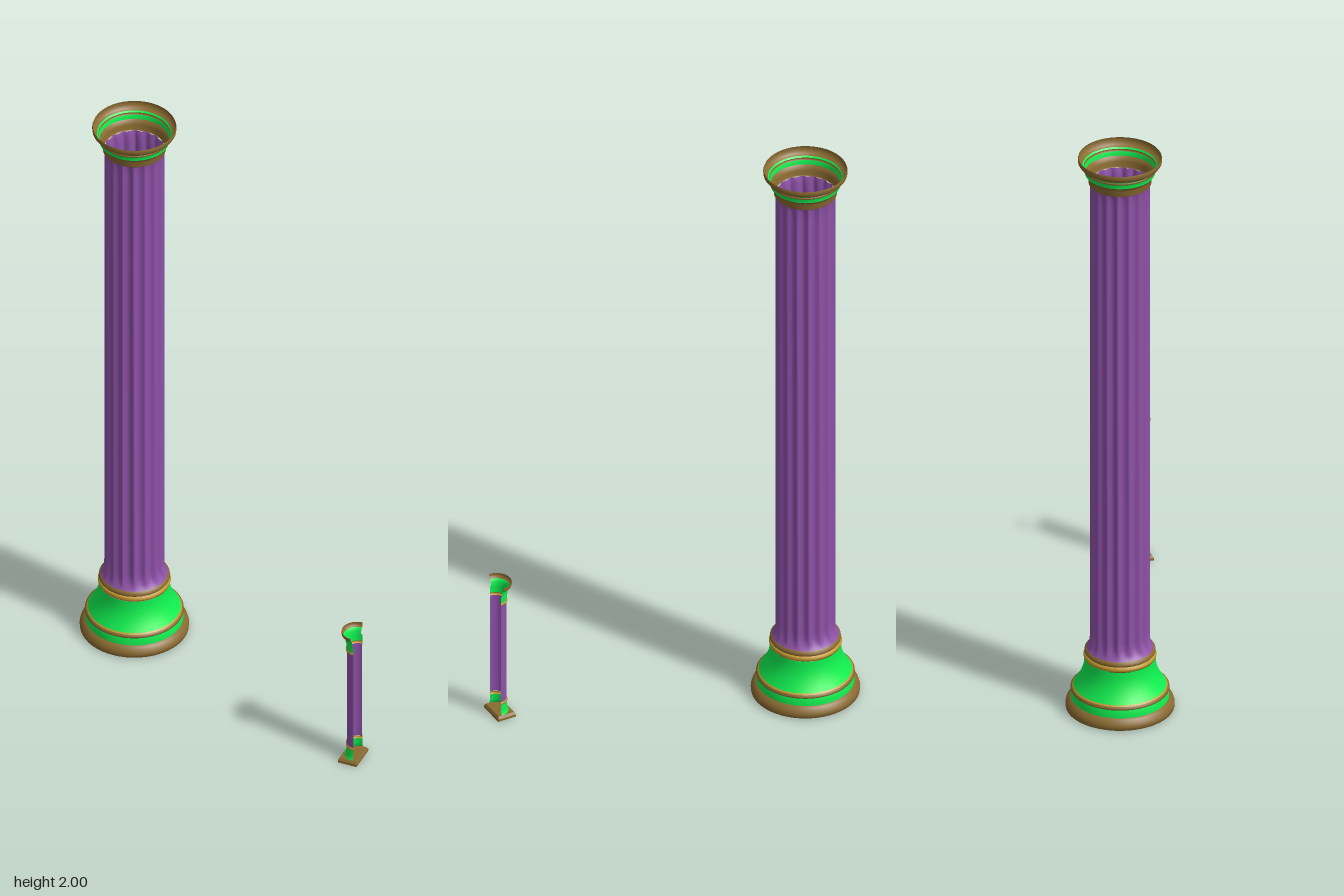
import * as THREE from 'three';

const material = (color) => new THREE.MeshStandardMaterial({ color, side: THREE.DoubleSide });
const PURPLE = material(0x8f52a8), GREEN = material(0x10f050);
const BROWN = material(0x8a6a30), GOLD = material(0xc49a30);

// Thin revolved shell; half shells keep the -x side
function shell(parent, name, mat, points, half = false, segments = 64) {
  const profile = points.map(([r, y]) => new THREE.Vector2(r, y));
  const geometry = half
    ? new THREE.LatheGeometry(profile, segments / 2, Math.PI, Math.PI)
    : new THREE.LatheGeometry(profile, segments);
  const mesh = new THREE.Mesh(geometry, mat);
  mesh.name = name;
  parent.add(mesh);
  return mesh;
}

// Concave flutes that fade out towards both ends of the shaft
function flute(geometry, count, depth, y0, y1, fade) {
  const p = geometry.attributes.position;
  for (let i = 0; i < p.count; i++) {
    const x = p.getX(i), y = p.getY(i), z = p.getZ(i);
    const r = Math.hypot(x, z), a = Math.atan2(x, z);
    const end = THREE.MathUtils.smoothstep(Math.min(y - y0, y1 - y), 0, fade);
    const k = (r - depth * end * Math.abs(Math.sin(a * count / 2))) / r;
    p.setXYZ(i, x * k, y, z * k);
  }
  geometry.computeVertexNormals();
}

function tallColumn() {
  const g = new THREE.Group();
  g.name = 'tallColumn';
  g.position.set(-0.39, 0, -0.118);

  // Base mouldings, bottom to top
  shell(g, 'baseFoot', BROWN, [[0.166, 0], [0.174, 0.004], [0.175, 0.015], [0.172, 0.026], [0.164, 0.036], [0.157, 0.04]]);
  shell(g, 'baseLowerBand', GREEN, [[0.157, 0.04], [0.156, 0.055], [0.153, 0.066]]);
  shell(g, 'baseRing', BROWN, [[0.153, 0.066], [0.158, 0.069], [0.158, 0.075], [0.153, 0.079]]);
  shell(g, 'baseGoldLine', GOLD, [[0.153, 0.079], [0.149, 0.083]]);
  shell(g, 'baseBell', GREEN, [[0.149, 0.083], [0.14, 0.096], [0.129, 0.115], [0.12, 0.137], [0.115, 0.16], [0.114, 0.182]]);
  shell(g, 'neckGoldRing', GOLD, [[0.108, 0.182], [0.115, 0.184], [0.117, 0.191], [0.115, 0.198], [0.111, 0.2]]);
  shell(g, 'neckBrownRing', BROWN, [[0.111, 0.2], [0.114, 0.204], [0.113, 0.212], [0.107, 0.217]]);

  // Fluted shaft with a flared foot
  const rows = [[0.107, 0.217], [0.102, 0.224], [0.099, 0.234], [0.097, 0.25], [0.096, 0.275],
    [0.096, 1], [0.096, 1.86], [0.096, 1.89], [0.098, 1.91]];
  const shaft = shell(g, 'shaft', PURPLE, rows, false, 128);
  flute(shaft.geometry, 16, 0.01, 0.217, 1.93, 0.04);

  // Open capital
  shell(g, 'capitalNeck', BROWN, [[0.098, 1.908], [0.101, 1.911], [0.102, 1.928], [0.106, 1.938], [0.112, 1.944]]);
  shell(g, 'capitalBand', GREEN, [[0.112, 1.944], [0.113, 1.953], [0.115, 1.959]]);
  shell(g, 'capitalRing', BROWN, [[0.115, 1.959], [0.118, 1.961], [0.118, 1.965], [0.116, 1.967]]);
  shell(g, 'capitalUpperBand', GREEN, [[0.116, 1.967], [0.12, 1.972]]);
  shell(g, 'capitalRim', BROWN, [[0.12, 1.972], [0.128, 1.976], [0.134, 1.984], [0.135, 1.994], [0.133, 2]]);
  return g;
}

function smallHalfColumn() {
  const g = new THREE.Group();
  g.name = 'smallHalfColumn';
  g.position.set(0.544, 0, 0.24);

  // Rectangular plinth with a chamfered upper edge
  const geometry = new THREE.BoxGeometry(0.065, 0.016, 0.096, 1, 2, 1).toNonIndexed();
  const p = geometry.attributes.position;
  for (let i = 0; i < p.count; i++) {
    if (p.getY(i) > 0.004) p.setXYZ(i, p.getX(i) * 0.85, p.getY(i), p.getZ(i) * 0.88);
  }
  geometry.computeVertexNormals();
  const plinth = new THREE.Mesh(geometry, BROWN);
  plinth.name = 'plinth';
  plinth.position.set(-0.0165, 0.008, 0);
  g.add(plinth);

  // Half-round base, shaft and necking
  shell(g, 'smallBase', GREEN, [[0.042, 0.016], [0.039, 0.022], [0.037, 0.032], [0.036, 0.052]], true);
  shell(g, 'smallBaseRing', GOLD, [[0.035, 0.052], [0.038, 0.055], [0.038, 0.06], [0.035, 0.063]], true);
  shell(g, 'smallShaft', PURPLE, [[0.036, 0.063], [0.035, 0.08], [0.035, 0.42], [0.036, 0.432]], true);
  shell(g, 'smallNeckRing', GOLD, [[0.035, 0.432], [0.038, 0.435], [0.038, 0.439], [0.036, 0.442]], true);
  shell(g, 'smallCapitalBand', GREEN, [[0.036, 0.442], [0.037, 0.467]], true);

  // Upper capital, set slightly forward and open at the back
  const capital = new THREE.Group();
  capital.name = 'smallCapital';
  capital.position.x = -0.004;
  g.add(capital);
  shell(capital, 'smallCapitalBell', GREEN, [[0.035, 0.465], [0.036, 0.478], [0.039, 0.486], [0.042, 0.49]], true);
  shell(capital, 'smallCapitalRim', BROWN, [[0.042, 0.49], [0.047, 0.493], [0.049, 0.499], [0.048, 0.506]], true);
  return g;
}

export function createModel() {
  const model = new THREE.Group();
  model.name = 'columns';
  model.add(tallColumn(), smallHalfColumn());
  return model;
}
